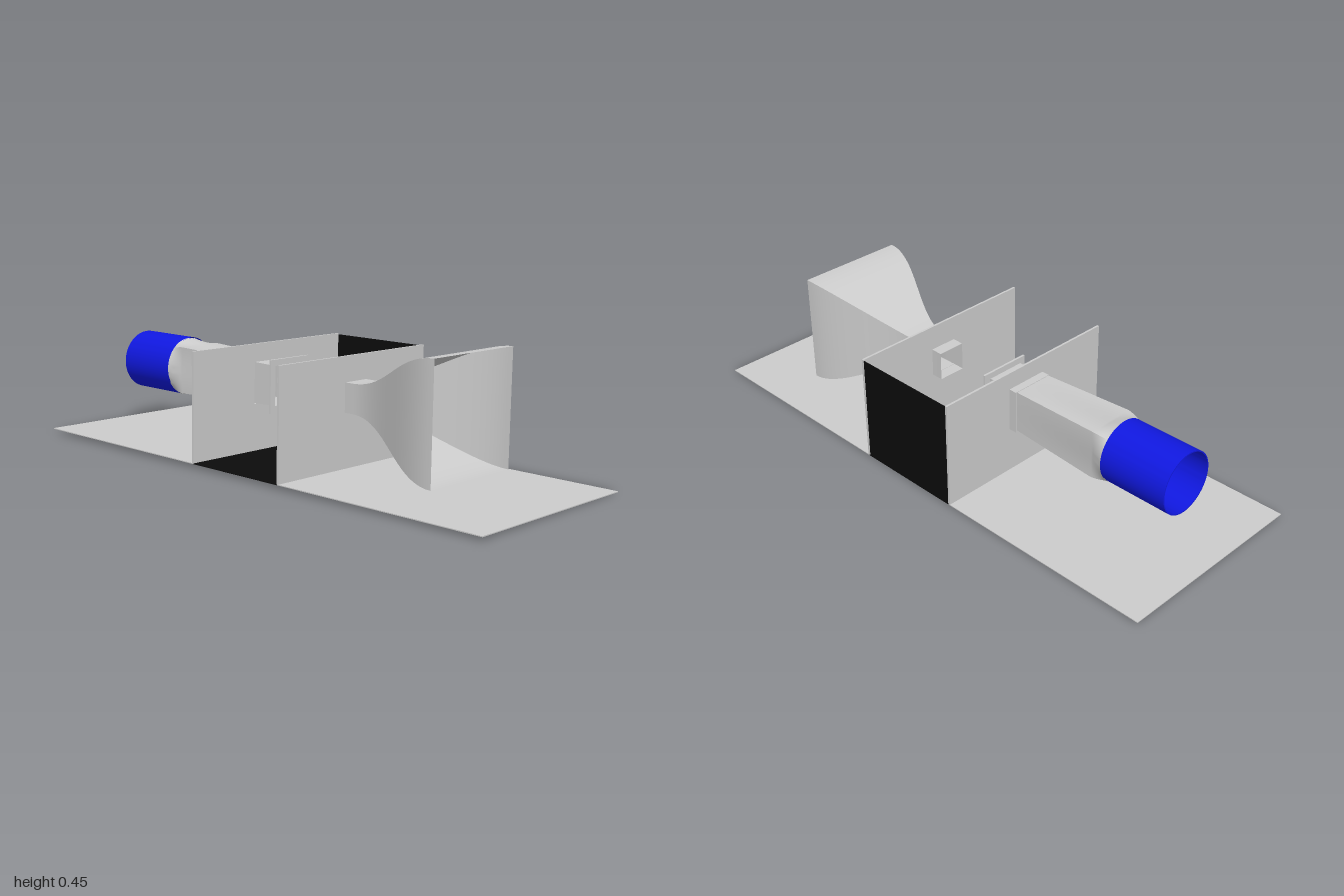
import * as THREE from 'three';
import { toCreasedNormals } from 'three/addons/utils/BufferGeometryUtils.js';

const grey = new THREE.MeshStandardMaterial({ color: 0xcccccc, side: THREE.DoubleSide });
const black = new THREE.MeshStandardMaterial({ color: 0x0c0c0c, side: THREE.DoubleSide });
const blue = new THREE.MeshStandardMaterial({ color: 0x1018e0, side: THREE.DoubleSide });

const AXIS_Y = 0.253; // height of the duct centre line

// Open duct along z; each ring is [z, half size, roundness 0 square .. 1 circle], front to back
function duct(rings, segments = 64) {
  const pos = [], idx = [];
  for (const [z, half, round] of rings) {
    for (let j = 0; j <= segments; j++) {
      const a = (j / segments) * Math.PI * 2;
      const c = Math.cos(a), s = Math.sin(a);
      const square = 1 / Math.max(Math.abs(c), Math.abs(s));
      const r = half * THREE.MathUtils.lerp(square, 1, round);
      pos.push(c * r, s * r, z);
    }
  }
  const n = segments + 1;
  for (let i = 0; i < rings.length - 1; i++) {
    for (let j = 0; j < segments; j++) {
      const a = i * n + j, b = a + n;
      idx.push(a, b, a + 1, a + 1, b, b + 1);
    }
  }
  const g = new THREE.BufferGeometry();
  g.setAttribute('position', new THREE.Float32BufferAttribute(pos, 3));
  g.setIndex(idx);
  return toCreasedNormals(g, 0.5);
}

// Upright end plate with a square hole for the duct
function endPlate(hole) {
  const s = new THREE.Shape([[-0.358, 0.01], [0.358, 0.01], [0.358, 0.392], [-0.358, 0.392]]
    .map(([x, y]) => new THREE.Vector2(x, y)));
  s.holes.push(new THREE.Path([[-1, -1], [-1, 1], [1, 1], [1, -1]]
    .map(([x, y]) => new THREE.Vector2(x * hole, AXIS_Y + y * hole))));
  return new THREE.ExtrudeGeometry(s, { depth: 0.008, bevelEnabled: false }).translate(0, 0, -0.004);
}

export function createModel() {
  const model = new THREE.Group();
  const tilted = new THREE.Group(); // the whole assembly leans very slightly
  tilted.position.y = 0.2;
  tilted.rotation.set(0.002, 0, -0.016);
  model.add(tilted);

  const add = (name, geometry, material, x = 0, y = 0, z = 0) => {
    const m = new THREE.Mesh(geometry, material);
    m.name = name;
    m.position.set(x, y - 0.2, z);
    tilted.add(m);
  };

  // Base: grey sheets front and back, black floor between
  for (const [name, z] of [['frontBase', 0.6], ['backBase', -0.6]]) {
    add(name, new THREE.BoxGeometry(0.716, 0.003, 0.8), grey, 0, 0.0095, z);
  }
  add('testSectionFloor', new THREE.BoxGeometry(0.716, 0.003, 0.4), black, 0, 0.0095, 0);

  // Test section: one black side wall, the other side and the top open
  add('sideWall', new THREE.BoxGeometry(0.004, 0.378, 0.392), black, 0.356, 0.199, 0);
  add('frontPlate', endPlate(0.05), grey, 0, 0, 0.202);
  add('backPlate', endPlate(0.074), grey, 0, 0, -0.202);

  // Inlet: S-shaped square contraction ending in a short straight throat
  const inlet = [];
  for (let i = 0; i <= 24; i++) {
    const t = 1 - i / 24;
    inlet.push([0.24 + 0.45 * t, 0.051 + 0.149 * t * t * (3 - 2 * t), 0]);
  }
  inlet.push([0.155, 0.051, 0]);
  add('inletContraction', duct(inlet), grey, 0.002, AXIS_Y);

  // Diffuser: lipped mouth, collar behind the plate, widening body, square-to-round end
  add('diffuserLip', duct([
    [-0.1, 0.072, 0], [-0.1, 0.094, 0], [-0.108, 0.094, 0], [-0.108, 0.072, 0],
  ]), grey, 0.002, AXIS_Y);
  add('diffuserCollar', duct([
    [-0.2, 0.078, 0], [-0.235, 0.078, 0], [-0.235, 0.072, 0],
  ]), grey, 0.002, AXIS_Y);
  const body = [[-0.1, 0.07, 0], [-0.2, 0.073, 0], [-0.57, 0.086, 0]];
  for (let i = 1; i <= 6; i++) body.push([-0.57 - 0.01 * i, 0.086 + 0.0035 * i, i / 6]);
  add('diffuser', duct(body), grey, 0, AXIS_Y + 0.002);

  // Round fan housing, open at both ends
  add('fanHousing', duct([
    [-0.625, 0.108, 1], [-0.875, 0.108, 1], [-0.875, 0.104, 1], [-0.625, 0.104, 1],
  ]), blue, 0, AXIS_Y + 0.004);

  return model;
}
